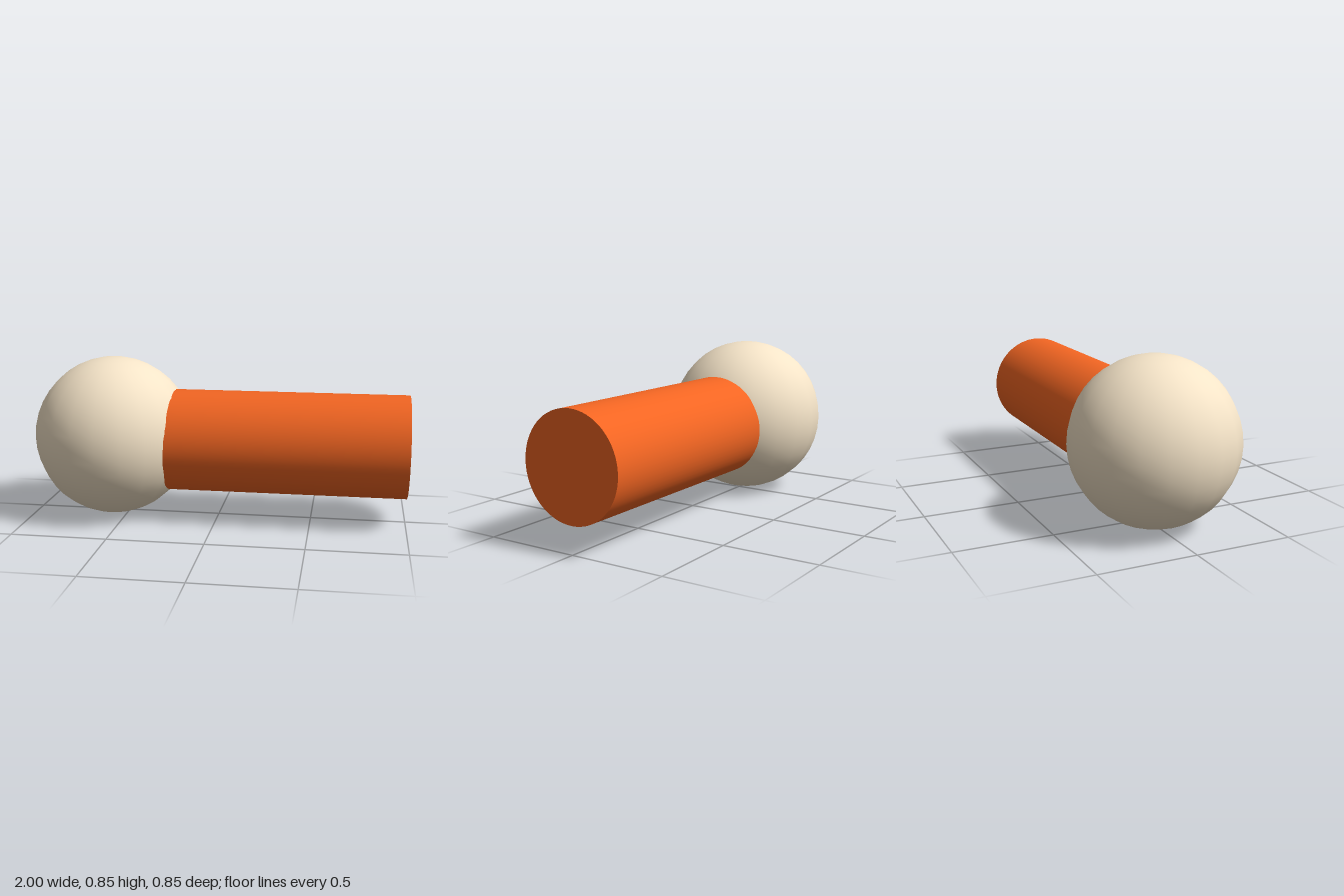
import * as THREE from 'three';

function part(name, geometry, color, x, y) {
  const mesh = new THREE.Mesh(geometry, new THREE.MeshStandardMaterial({ color }));
  mesh.name = name;
  mesh.position.set(x, y, 0);
  return mesh;
}

export function createModel() {
  const model = new THREE.Group();
  model.name = 'ballOnRod';

  // Ball end
  const radius = 0.426;
  model.add(part('ball', new THREE.SphereGeometry(radius, 20, 20), 0xf5e4c8, -1 + radius, radius));

  // Round rod lying along x, its inner end sunk into the ball
  const start = -0.45, end = 1;
  const rod = new THREE.CylinderGeometry(0.271, 0.271, end - start, 64).rotateZ(-Math.PI / 2);
  model.add(part('rod', rod, 0xf26522, (start + end) / 2, 0.41));

  return model;
}
